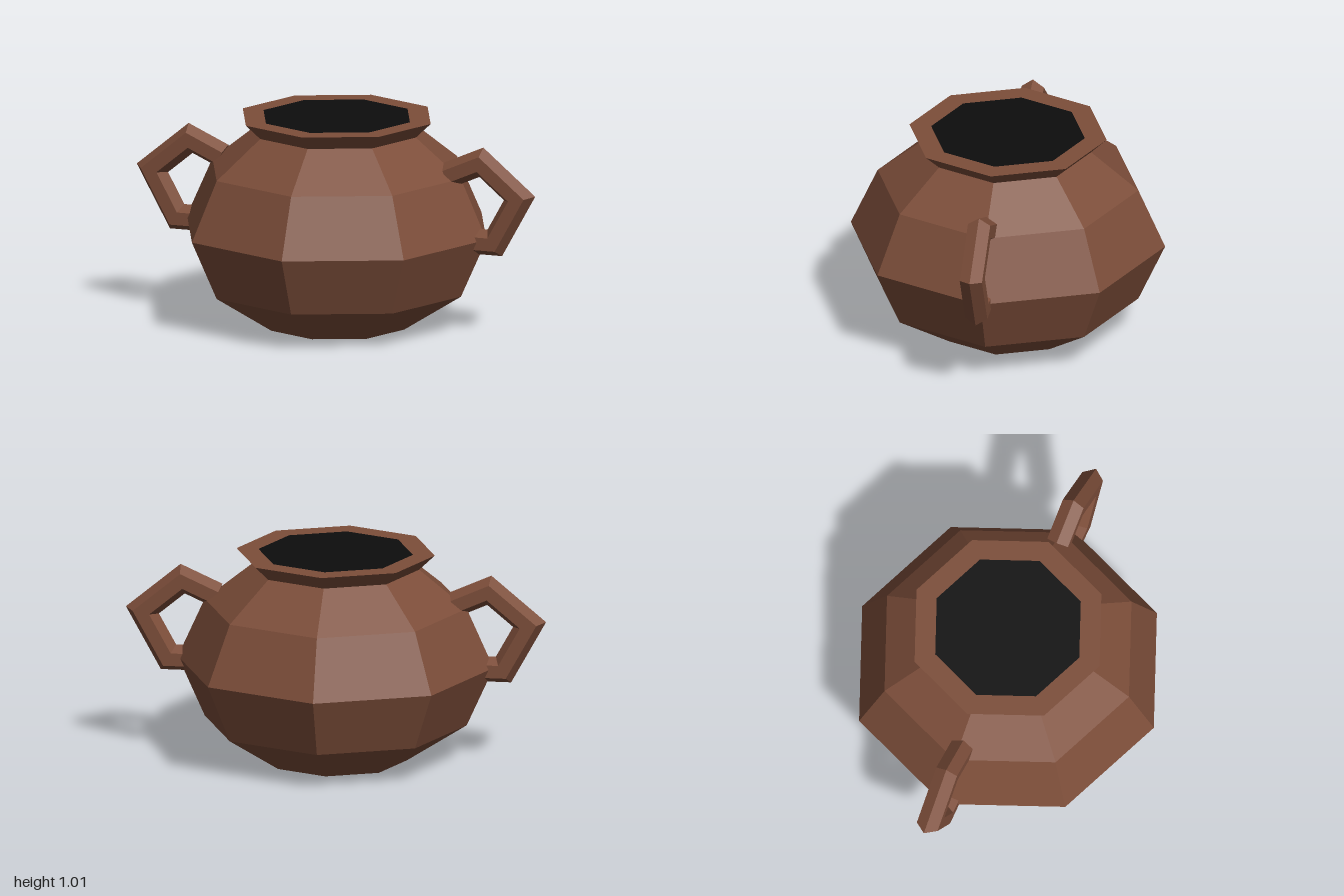
import * as THREE from 'three';

const clay = new THREE.MeshStandardMaterial({ color: 0x7d4e3a });
clay.name = 'brown clay';
const dark = new THREE.MeshStandardMaterial({ color: 0x0d0d0d });
dark.name = 'dark interior';

const SIDES = 8;

// Unshared corners give hard, faceted normals
function faceted(geometry) {
  const g = geometry.index ? geometry.toNonIndexed() : geometry;
  g.computeVertexNormals();
  return g;
}

function mesh(name, geometry, material) {
  const m = new THREE.Mesh(faceted(geometry), material);
  m.name = name;
  return m;
}

function lathe(profile) {
  return new THREE.LatheGeometry(profile.map(([r, y]) => new THREE.Vector2(r, y)), SIDES);
}

// Sweep a hexagonal bar along a mitred path in the xy plane
function hexBar(path, radius) {
  const pts = path.map(([x, y]) => new THREE.Vector2(x, y));
  const dir = (i) => pts[i + 1].clone().sub(pts[i]).normalize();
  const last = pts.length - 1;
  const rings = pts.map((p, i) => {
    const a = dir(Math.max(i - 1, 0));
    const b = dir(Math.min(i, last - 1));
    const t = a.clone().add(b).normalize();
    const miter = 1 / t.dot(a);
    return Array.from({ length: 6 }, (_, k) => {
      const angle = k * Math.PI / 3;
      const off = Math.cos(angle) * radius * miter;
      return [p.x - t.y * off, p.y + t.x * off, Math.sin(angle) * radius];
    });
  });
  const out = [];
  for (let i = 0; i < last; i++) {
    for (let k = 0; k < 6; k++) {
      const n = (k + 1) % 6;
      const [a, b, c, d] = [rings[i][k], rings[i][n], rings[i + 1][n], rings[i + 1][k]];
      out.push(...a, ...b, ...c, ...a, ...c, ...d);
    }
  }
  // End caps
  for (let k = 1; k < 5; k++) {
    out.push(...rings[0][0], ...rings[0][k + 1], ...rings[0][k]);
    out.push(...rings[last][0], ...rings[last][k], ...rings[last][k + 1]);
  }
  const g = new THREE.BufferGeometry();
  g.setAttribute('position', new THREE.Float32BufferAttribute(out, 3));
  return g;
}

export function createModel() {
  const pot = new THREE.Group();
  pot.name = 'pot';

  // Rounded eight-sided body with a closed base
  pot.add(mesh('body', lathe([
    [0, 0], [0.342, 0], [0.628, 0.183], [0.757, 0.47], [0.628, 0.757], [0.4, 0.94],
  ]), clay));

  // Flared lip with a flat top ring
  pot.add(mesh('rim', lathe([[0.4, 0.94], [0.475, 1.012], [0.37, 1.012]]), clay));

  // Dark opening, flush with the lip
  const opening = mesh('opening', new THREE.CircleGeometry(0.37, SIDES), dark);
  opening.rotation.x = -Math.PI / 2;
  opening.position.y = 1.012;
  pot.add(opening);

  // Angular handles on both sides
  const path = [[0.57, 0.775], [0.735, 0.849], [0.928, 0.688], [0.803, 0.462], [0.7, 0.462]];
  const bar = hexBar(path, 0.062);
  for (const [name, turn] of [['leftHandle', 0], ['rightHandle', Math.PI]]) {
    const handle = mesh(name, bar, clay);
    handle.rotation.y = turn;
    handle.position.z = 0.01;
    pot.add(handle);
  }

  return pot;
}
